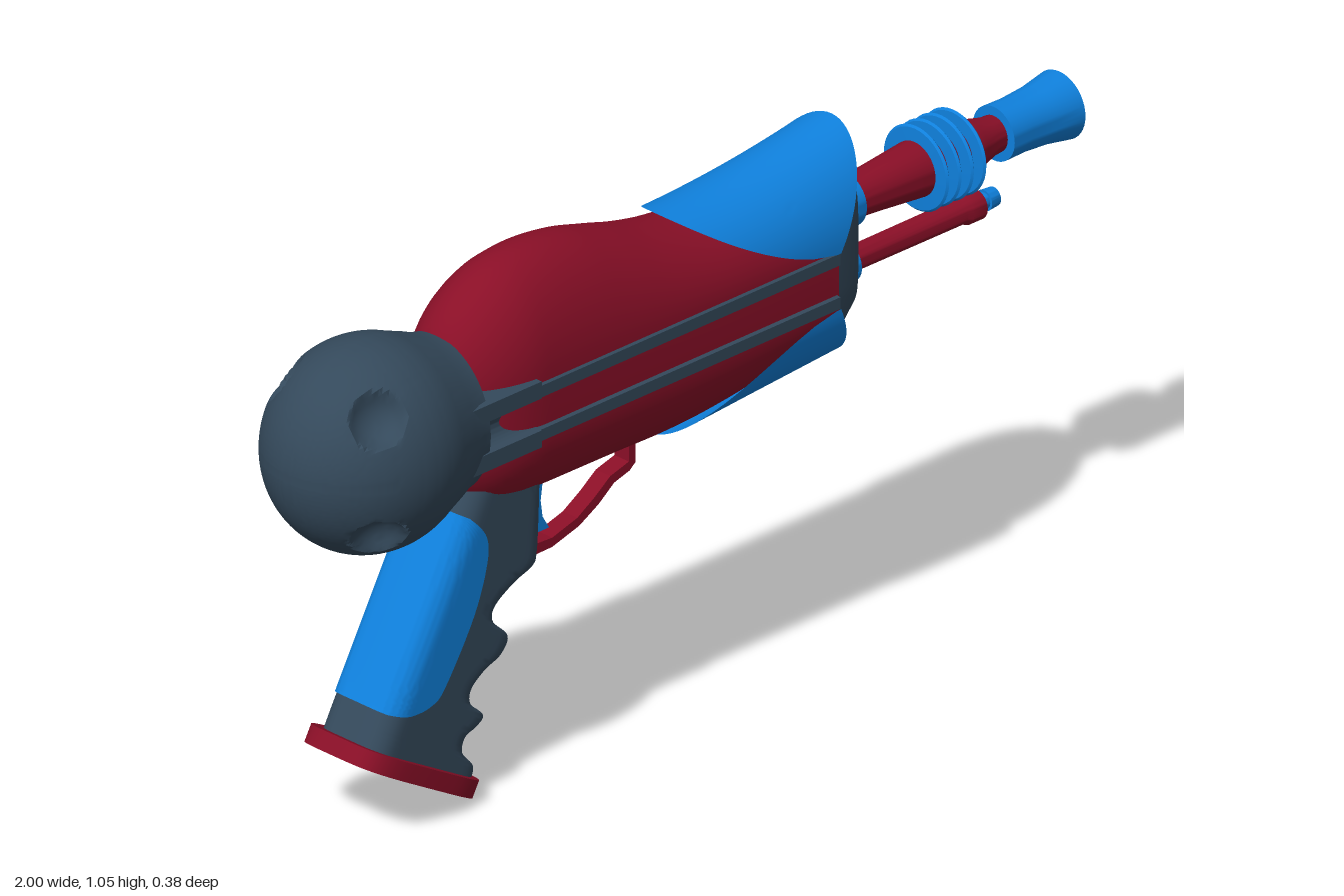
import * as THREE from 'three';
import { toCreasedNormals } from 'three/addons/utils/BufferGeometryUtils.js';

const V = (x, y, z) => new THREE.Vector3(x, y, z);
const P = (x, y) => new THREE.Vector2(x, y);
const mat = (color) => new THREE.MeshStandardMaterial({ color, side: THREE.DoubleSide });

// Skin a list of point rows; closed rows form capped tubes, open rows form sheets
function loft(rows, closed = true) {
  const n = rows[0].length, pos = [], idx = [];
  rows.forEach((r) => r.forEach((p) => pos.push(p.x, p.y, p.z)));
  const m = closed ? n : n - 1;
  for (let i = 0; i < rows.length - 1; i++) {
    for (let j = 0; j < m; j++) {
      const a = i * n + j, b = i * n + (j + 1) % n;
      idx.push(a, b, a + n, b, b + n, a + n);
    }
  }
  if (closed) {
    [0, rows.length - 1].forEach((r, end) => {
      const c = V(0, 0, 0);
      rows[r].forEach((p) => c.addScaledVector(p, 1 / n));
      const k = pos.length / 3;
      pos.push(c.x, c.y, c.z);
      for (let j = 0; j < n; j++) {
        const a = r * n + j, b = r * n + (j + 1) % n;
        if (end) idx.push(k, a, b); else idx.push(k, b, a);
      }
    });
  }
  const g = new THREE.BufferGeometry();
  g.setAttribute('position', new THREE.Float32BufferAttribute(pos, 3));
  g.setIndex(idx);
  g.computeVertexNormals();
  return toCreasedNormals(g, 0.7);
}

// Softly squared closed outline, as [a, b] pairs
function softRect(a, b, power, n = 48) {
  return Array.from({ length: n }, (_, i) => {
    const t = (i / n) * Math.PI * 2, c = Math.cos(t), s = Math.sin(t);
    return [a * Math.sign(c) * Math.abs(c) ** (2 / power), b * Math.sign(s) * Math.abs(s) ** (2 / power)];
  });
}

// Turned part lying along x; profile pairs are [x, radius]
function turned(profile, segs = 40) {
  const g = new THREE.LatheGeometry(profile.map(([x, r]) => P(r, x)), segs);
  g.rotateZ(-Math.PI / 2);
  return toCreasedNormals(g, 0.6);
}

function plate(points, halfDepth, hole) {
  const s = new THREE.Shape(points.map((p) => P(...p)));
  if (hole) s.holes.push(new THREE.Path(hole.map((p) => P(...p))));
  const g = new THREE.ExtrudeGeometry(s, { depth: halfDepth * 2, bevelEnabled: false });
  return g.translate(0, 0, -halfDepth);
}

export function createModel() {
  const model = new THREE.Group();
  model.name = 'toyBlaster';
  const dark = mat(0x34495b), red = mat(0x8a0f27), blue = mat(0x0f80dc);
  const add = (name, geo, material, parent = model) => {
    const m = new THREE.Mesh(geo, material);
    m.name = name;
    parent.add(m);
    return m;
  };

  // Rear bulb with four scooped dimples
  const prof = [];
  for (let i = 0; i <= 48; i++) {
    const t = (i / 48) * Math.PI * 0.64;
    prof.push([-0.21 * Math.cos(t), 0.21 * Math.sin(t)]);
  }
  prof.push([0.13, 0.175], [0.16, 0.162], [0.18, 0.158], [0.18, 0]);
  const bulb = new THREE.LatheGeometry(prof.map(([x, r]) => P(Math.max(r, 0), x)), 120);
  bulb.rotateZ(-Math.PI / 2);
  const bp = bulb.attributes.position, p = V(0, 0, 0), scoopR = 0.065;
  for (let i = 0; i < bp.count; i++) {
    p.fromBufferAttribute(bp, i);
    for (const sy of [-1, 1]) for (const sz of [-1, 1]) {
      const dir = V(-0.095, 0.125 * sy, 0.14 * sz).normalize();
      const rel = p.clone().addScaledVector(dir, -0.235);
      const along = rel.dot(dir), side2 = rel.lengthSq() - along * along;
      const floor = -Math.sqrt(Math.max(0, scoopR * scoopR - side2));
      if (side2 < scoopR * scoopR && along > floor) p.addScaledVector(dir, floor - along);
    }
    bp.setXYZ(i, p.x, p.y, p.z);
  }
  bulb.scale(1, 1, 0.9);
  add('rearBulb', toCreasedNormals(bulb, 0.6), dark).position.set(-0.79, 0.777, 0);

  // Red shell: half-ellipse domes above and below the side rails
  const domes = new THREE.CatmullRomCurve3([
    [-0.637, 0.04, 0.03], [-0.615, 0.105, 0.09], [-0.56, 0.165, 0.145], [-0.48, 0.207, 0.16],
    [-0.4, 0.22, 0.163], [-0.3, 0.212, 0.164], [-0.2, 0.185, 0.165], [-0.1, 0.155, 0.167],
    [0, 0.135, 0.163], [0.1, 0.128, 0.15], [0.2, 0.12, 0.125], [0.3, 0.1, 0.1],
  ].map((a) => V(...a)));
  add('shell', loft(domes.getPoints(60).map((q) => {
    const w = 0.132 * Math.sqrt(1 - (Math.max(0, -0.45 - q.x) / 0.2) ** 2);
    const ring = [];
    for (let i = 0; i <= 24; i++) {
      const t = (i / 24) * Math.PI;
      ring.push(V(q.x, 0.83 + q.y * Math.sin(t), w * Math.cos(t)));
    }
    for (let i = 0; i <= 24; i++) {
      const t = (i / 24) * Math.PI;
      ring.push(V(q.x, 0.72 - q.z * Math.sin(t), -w * Math.cos(t)));
    }
    return ring;
  })), red);

  // Grooved side rails and the thicker rear collar
  const rail = (name, x0, x1, halfY, w) => {
    const s = new THREE.Shape(), y = 0.777, r = 0.033;
    s.moveTo(-w, y - halfY).lineTo(w, y - halfY).lineTo(w, y - r);
    s.absarc(w, y, r, -Math.PI / 2, Math.PI / 2, true);
    s.lineTo(w, y + halfY).lineTo(-w, y + halfY).lineTo(-w, y + r);
    s.absarc(-w, y, r, Math.PI / 2, -Math.PI / 2, true);
    const g = new THREE.ExtrudeGeometry(s, { depth: x1 - x0, bevelEnabled: false, curveSegments: 16 });
    g.rotateY(Math.PI / 2).translate(x0, 0, 0);
    add(name, toCreasedNormals(g, 0.6), dark);
  };
  rail('sideRails', -0.66, 0.295, 0.057, 0.141);
  rail('railCollar', -0.66, -0.48, 0.068, 0.144);

  // Front block
  add('frontBlock', loft([[0.27, 0.082, 0.165], [0.3, 0.082, 0.17], [0.375, 0.08, 0.17], [0.415, 0.066, 0.14]]
    .map(([x, a, b]) => softRect(a, b, 4.5).map(([z, y]) => V(x, 0.787 + y, z)))), dark);

  // Curved shields sweeping over the front of the shell
  const shield = (name, base, dir, height, reach, back, power) => {
    const rows = [];
    for (let i = 0; i <= 40; i++) {
      const t = (i / 40 - 0.5) * Math.PI, c = Math.max(0, Math.cos(t)), row = [];
      const xb = 0.285 - back * c ** power, xf = 0.295 + reach * c;
      for (let j = 0; j <= 16; j++) {
        const x = xb + (xf - xb) * j / 16;
        row.push(V(x, base + dir * height(x) * c, 0.143 * Math.sin(t)));
      }
      rows.push(row);
    }
    add(name, loft(rows, false), blue);
  };
  shield('upperShield', 0.835, 1, (x) => 0.148 + 0.02 * (x + 0.04) + 0.24 * Math.max(0, x) ** 2, 0.115, 0.325, 0.64);
  shield('lowerShield', 0.72, -1, (x) => 0.18 - 0.083 * (x + 0.06), 0.063, 0.345, 0.7);

  // Upper barrel with cooling fins and flared nozzle
  const upper = new THREE.Group(), lower = new THREE.Group();
  upper.name = 'upperBarrel';
  lower.name = 'lowerBarrel';
  upper.position.y = 0.842;
  lower.position.y = 0.713;
  model.add(upper, lower);
  add('collar', turned([[0.4, 0.053], [0.45, 0.053], [0.45, 0]]), blue, upper);
  add('tube', turned([[0.44, 0.04], [0.52, 0.046], [0.62, 0.055], [0.74, 0.055], [0.77, 0.048], [0.81, 0.038], [0.84, 0.036]]), red, upper);
  for (const x of [0.63, 0.662, 0.694, 0.726]) {
    add('fin', turned([[x - 0.005, 0.05], [x - 0.004, 0.082], [x, 0.086], [x + 0.004, 0.082], [x + 0.005, 0.05]]), blue, upper);
  }
  add('nozzle', turned([[0.83, 0], [0.83, 0.055], [0.88, 0.054], [0.94, 0.058], [1, 0.068], [1, 0.061], [0.94, 0.048], [0.86, 0.03], [0.86, 0]]), blue, upper);
  add('nozzlePin', turned([[0.85, 0.022], [0.93, 0.022], [0.935, 0]]), blue, upper);

  // Lower barrel
  add('collar', turned([[0.4, 0.04], [0.45, 0.04], [0.45, 0]]), blue, lower);
  add('tube', turned([[0.44, 0.024], [0.74, 0.025], [0.75, 0.03], [0.785, 0.03], [0.785, 0]]), red, lower);
  add('tip', turned([[0.78, 0.016], [0.805, 0.016], [0.805, 0.021], [0.83, 0.019], [0.83, 0.009], [0.815, 0]]), blue, lower);

  // Grip in its own tilted frame: x towards the fingers, y up the handle
  const grip = new THREE.Group();
  grip.name = 'grip';
  grip.position.set(-0.71, 0.12, 0);
  grip.rotation.z = -0.513;
  model.add(grip);
  const back = -0.15, half = 0.083, round = 0.045;
  const fingers = new THREE.SplineCurve([
    [-0.012, 0.158], [0.012, 0.15], [0.03, 0.108], [0.06, 0.1], [0.085, 0.12], [0.108, 0.126], [0.122, 0.08],
    [0.15, 0.068], [0.19, 0.085], [0.225, 0.112], [0.262, 0.112], [0.28, 0.058], [0.31, 0.048],
    [0.36, 0.075], [0.4, 0.108], [0.425, 0.106], [0.48, 0.08], [0.55, 0.044], [0.6, 0.02],
  ].map((a) => P(...a)));
  const width = (x, front) => {
    const d = Math.max(0, Math.min(x - back, front - x, round));
    return half - round + Math.sqrt(round * round - (round - d) ** 2);
  };
  add('handle', loft(fingers.getPoints(110).map(({ x: y, y: front }) => {
    const side = Array.from({ length: 25 }, (_, i) => {
      const x = back + (front - back) * (0.5 - 0.5 * Math.cos((i / 24) * Math.PI));
      return V(x, y, width(x, front));
    });
    return [...side, ...side.slice().reverse().map((q) => V(q.x, q.y, -q.z))];
  })), dark, grip);

  // Blue inlay wrapped round the back of the handle
  const edge = new THREE.SplineCurve([
    [0.062, -0.14], [0.074, -0.095], [0.1, -0.055], [0.14, -0.036], [0.28, -0.03], [0.38, -0.047], [0.43, -0.075], [0.455, -0.13],
  ].map((a) => P(...a)));
  add('gripInlay', loft(edge.getPoints(40).map(({ x: y, y: v }) => Array.from({ length: 41 }, (_, i) => {
    const k = i / 20 - 1, x = back + (v - back) * Math.abs(k) ** 2;
    const near = Math.max(0, 1 - (x - back) / round);
    return V(x - 0.004 * near, y, Math.sign(k) * Math.min(1, Math.abs(k) * 8) * (width(x, 0.2) + 0.003));
  })), false), blue, grip);

  // Foot plate
  add('footPlate', loft([-0.045, -0.009].map((y) => softRect(0.173, 0.108, 4).map(([x, z]) => V(x - 0.003, y, z)))), red, grip);

  // Trigger and guard
  add('triggerGuard', plate(
    [[-0.41, 0.575], [-0.115, 0.575], [-0.115, 0.505], [-0.13, 0.493], [-0.17, 0.482], [-0.21, 0.452], [-0.26, 0.425], [-0.33, 0.406], [-0.39, 0.405], [-0.41, 0.415]],
    0.019,
    [[-0.392, 0.553], [-0.392, 0.428], [-0.33, 0.425], [-0.265, 0.443], [-0.22, 0.47], [-0.18, 0.499], [-0.132, 0.512], [-0.132, 0.553]]), red);
  add('trigger', plate([[-0.395, 0.56], [-0.35, 0.56], [-0.357, 0.51], [-0.352, 0.475], [-0.335, 0.447], [-0.375, 0.447], [-0.392, 0.462]], 0.016), blue);
  return model;
}
